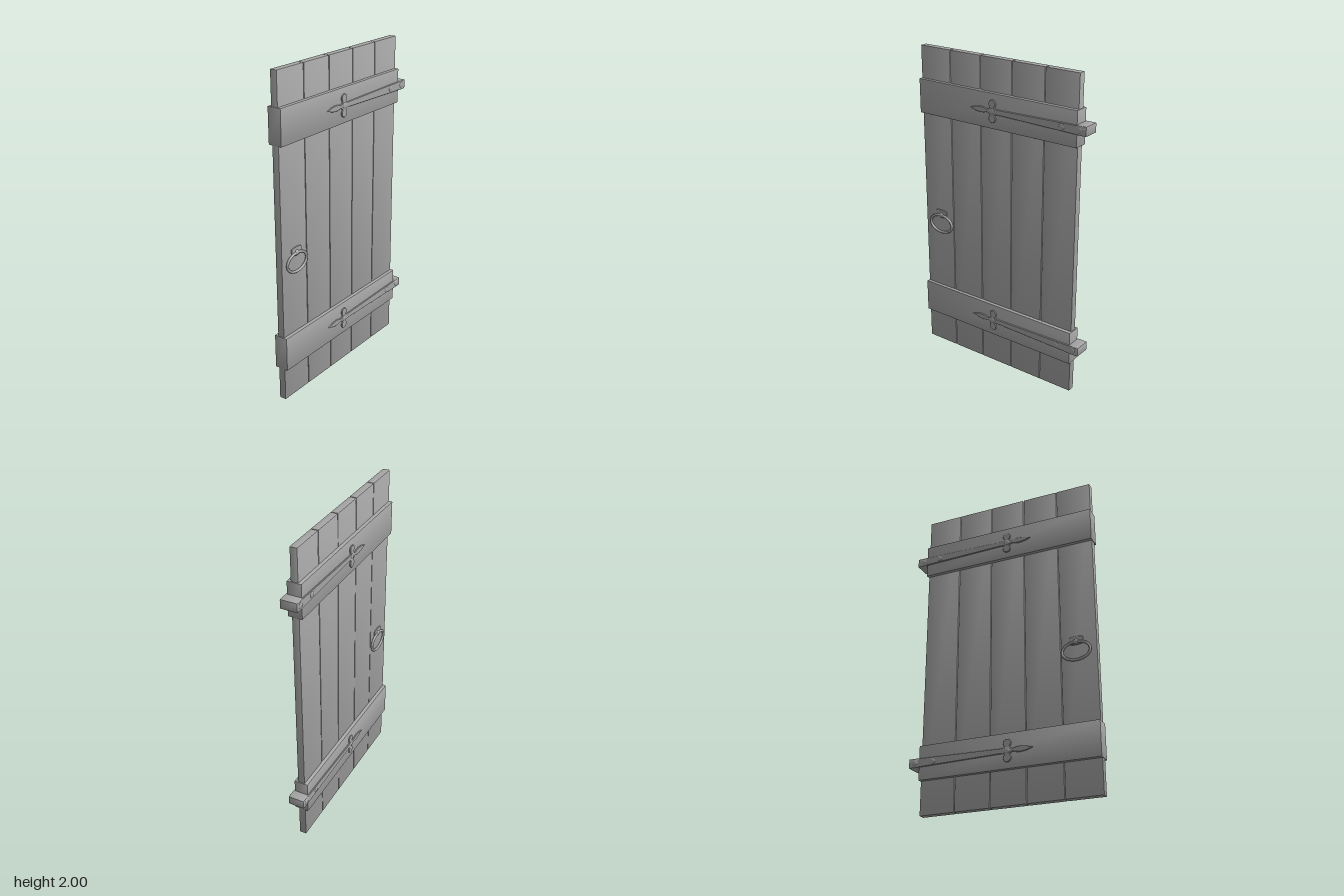
import * as THREE from 'three';
import { RoundedBoxGeometry } from 'three/addons/geometries/RoundedBoxGeometry.js';
import { toCreasedNormals } from 'three/addons/utils/BufferGeometryUtils.js';

const grey = new THREE.MeshStandardMaterial({ color: 0xa6a6a6 });
grey.name = 'grey';

function add(parent, name, geometry, x = 0, y = 0, z = 0) {
  const mesh = new THREE.Mesh(geometry, grey);
  mesh.name = name;
  mesh.position.set(x, y, z);
  parent.add(mesh);
  return mesh;
}

// Box with softly chamfered edges
const block = (w, h, d, r = 0.004) => toCreasedNormals(new RoundedBoxGeometry(w, h, d, 1, r), 0.5);

// Flat plate with a small bevel
function plate(shape, depth, bevel) {
  return new THREE.ExtrudeGeometry(shape, {
    depth: depth - bevel, bevelEnabled: true, bevelThickness: bevel, bevelSize: bevel,
    bevelOffset: -bevel, bevelSegments: 1, curveSegments: 8,
  });
}

// Tapered strap ending in two round lobes and a leaf tip
function strapShape() {
  const half = [[0.59, 0.028], [0, 0.016], [-0.018, 0.018]];
  for (let i = 0; i <= 14; i++) {
    const a = THREE.MathUtils.degToRad(-50 + (280 * i) / 14);
    half.push([-0.04 + 0.025 * Math.cos(a), 0.044 + 0.025 * Math.sin(a)]);
  }
  half.push([-0.062, 0.016], [-0.075, 0.009], [-0.1, 0.016], [-0.125, 0.018], [-0.16, 0.013], [-0.2, 0]);
  const mirrored = half.slice(0, -1).reverse().map(([x, y]) => [x, -y]);
  return new THREE.Shape([...half, ...mirrored].map(([x, y]) => new THREE.Vector2(x, y)));
}

// Low domed rivet head facing +z
function rivetGeometry() {
  const profile = [[0.018, 0], [0.0165, 0.002], [0.011, 0.0045], [0, 0.0055]];
  return new THREE.LatheGeometry(profile.map(([r, h]) => new THREE.Vector2(r, h)), 16).rotateX(Math.PI / 2);
}

function hinge(y) {
  const group = new THREE.Group();
  group.name = 'hinge';
  group.position.y = y;
  add(group, 'hingeBlock', block(0.067, 0.057, 0.104), 0.5655);
  const strap = plate(strapShape(), 0.008, 0.002);
  const rivet = rivetGeometry();
  for (const turn of [0, Math.PI]) {
    const side = new THREE.Group();
    side.name = turn ? 'backStrap' : 'frontStrap';
    side.rotation.x = turn;
    add(side, 'strap', strap, 0, 0, 0.044);
    for (const x of [-0.04, 0.44, 0.56]) add(side, 'rivet', rivet, x, 0, 0.0515);
    group.add(side);
  }
  return group;
}

// Oval ring hanging from a small mounting plate
function handle(turn) {
  const group = new THREE.Group();
  group.name = turn ? 'backHandle' : 'frontHandle';
  group.position.set(-0.47, 0.867, 0);
  group.rotation.y = turn;
  const points = [];
  for (let i = 0; i < 24; i++) {
    const a = (i / 24) * Math.PI * 2;
    points.push(new THREE.Vector3(0.087 * Math.cos(a), 0.058 * Math.sin(a), 0));
  }
  const path = new THREE.CatmullRomCurve3(points, true);
  add(group, 'ring', new THREE.TubeGeometry(path, 48, 0.008, 10, true), 0, 0, 0.03);

  const outline = new THREE.Shape();
  outline.moveTo(-0.036, 0.043);
  outline.quadraticCurveTo(0, 0.034, 0.036, 0.043);
  outline.quadraticCurveTo(0.048, 0.065, 0.042, 0.088);
  outline.quadraticCurveTo(0, 0.1, -0.042, 0.088);
  outline.quadraticCurveTo(-0.048, 0.065, -0.036, 0.043);
  add(group, 'handlePlate', plate(outline, 0.006, 0.0015), 0, 0, 0.022);

  // Loop that holds the ring
  const loop = add(group, 'handleLoop', new THREE.SphereGeometry(0.016, 14, 10), 0, 0.058, 0.028);
  loop.scale.z = 0.7;
  return group;
}

export function createModel() {
  const model = new THREE.Group();
  model.name = 'plankDoor';

  // Upright planks
  const pitch = 0.226;
  const plankGeometry = block(pitch - 0.003, 2, 0.045);
  for (let i = 0; i < 5; i++) add(model, 'plank', plankGeometry, -0.598 + pitch * (i + 0.5), 1, 0);

  // Cross boards and hinges, top and bottom
  const boardGeometry = block(1.136, 0.214, 0.089);
  for (const y of [0.315, 1.693]) {
    add(model, 'crossBoard', boardGeometry, -0.032, y, 0);
    model.add(hinge(y));
  }

  // Ring handles on both faces
  model.add(handle(0), handle(Math.PI));
  return model;
}
